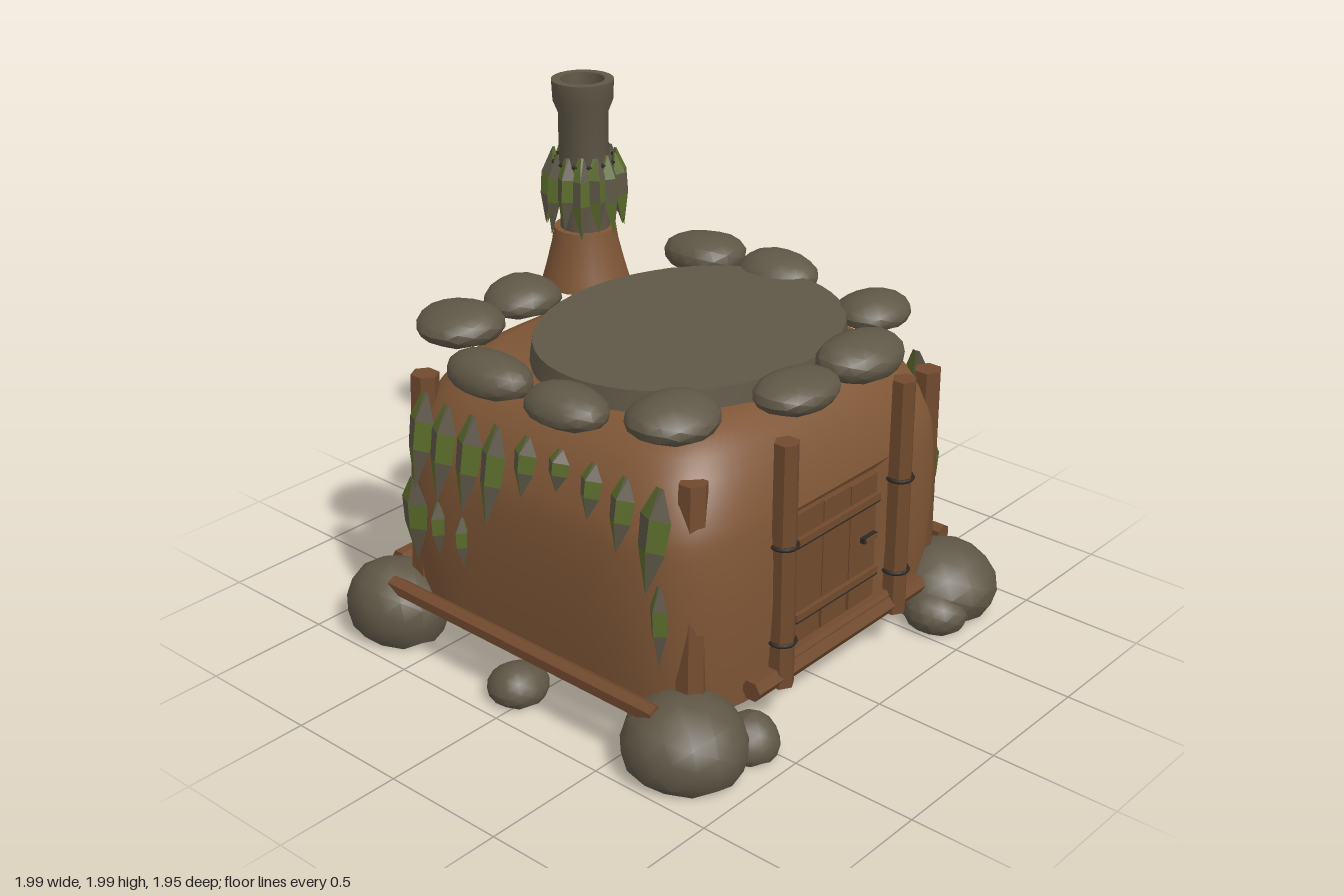
import * as THREE from 'three';
import { mergeVertices, toCreasedNormals } from 'three/addons/utils/BufferGeometryUtils.js';

const mat = (name, color, side = THREE.FrontSide) => {
  const m = new THREE.MeshStandardMaterial({ color, side });
  m.name = name;
  return m;
};

export function createModel() {
  const root = new THREE.Group();
  root.name = 'stoneRimmedHut';
  const clay = mat('clay', 0x7f5636, THREE.DoubleSide);
  const wood = mat('wood', 0x714a2e);
  const stone = mat('stone', 0x5f5746);
  const moss = mat('moss', 0x5a6b2b);
  const leafGrey = mat('leafGrey', 0x5d5647);
  const iron = mat('iron', 0x2e2823);

  let seed = 7;
  const rand = () => (seed = (seed * 16807) % 2147483647) / 2147483647;

  function add(name, geo, material, x = 0, y = 0, z = 0, parent = root) {
    const m = new THREE.Mesh(geo, material);
    m.name = name;
    m.position.set(x, y, z);
    parent.add(m);
    return m;
  }
  const box = (name, w, h, d, x, y, z, material = wood) =>
    add(name, new THREE.BoxGeometry(w, h, d), material, x, y, z);

  // Log between two points
  function log(name, a, b, r, sides = 6, material = wood) {
    const p = new THREE.Vector3(...a), q = new THREE.Vector3(...b);
    const dir = q.clone().sub(p);
    const geo = toCreasedNormals(new THREE.CylinderGeometry(r * 0.94, r, dir.length(), sides), 0.6);
    const m = add(name, geo, material);
    m.position.copy(p).add(q).multiplyScalar(0.5);
    m.quaternion.setFromUnitVectors(new THREE.Vector3(0, 1, 0), dir.normalize());
    return m;
  }

  // Irregular flat-bottomed boulder
  function boulder(name, x, y, z, rx, h, rz) {
    const ico = new THREE.IcosahedronGeometry(1, 2);
    ico.deleteAttribute('normal');
    ico.deleteAttribute('uv');
    const geo = mergeVertices(ico, 1e-3);
    const p = geo.attributes.position, v = new THREE.Vector3();
    const f = [rand() * 6, rand() * 6, rand() * 6];
    for (let i = 0; i < p.count; i++) {
      v.fromBufferAttribute(p, i);
      const n = 0.97 + 0.05 * Math.sin(2.4 * v.x + f[0]) + 0.05 * Math.sin(2.7 * v.z + f[1])
        + 0.03 * Math.sin(3 * v.y + f[2]);
      p.setXYZ(i, v.x * n * rx, Math.max(0, (v.y * 0.64 + 0.36) * h * n), v.z * n * rz);
    }
    add(name, toCreasedNormals(geo, 0.5), stone, x, y, z);
  }

  // Clay body: rounded-square loops, set back behind the door
  const rows = [
    [0.14, 0.81, 0.775], [0.3, 0.828, 0.79], [0.5, 0.84, 0.8], [0.68, 0.84, 0.798], [0.78, 0.832, 0.79],
    [0.83, 0.825, 0.785], [0.88, 0.81, 0.775], [0.96, 0.775, 0.745], [1.03, 0.735, 0.71],
    [1.09, 0.685, 0.665], [1.14, 0.61, 0.61], [1.165, 0.53, 0.54], [1.17, 0, 0],
  ];
  const N = 32, ring = [];
  for (let s = 0; s < 4; s++) {
    for (let i = 0; i < N; i++) {
      const t = -1 + (2 * i) / N;
      const [u, v] = [[t, 1], [1, -t], [-t, -1], [-1, t]][s];
      const k = Math.pow(Math.abs(u) ** 5 + Math.abs(v) ** 5, -1 / 5);
      ring.push([u * k, v * k]);
    }
  }
  const pos = [], idx = [], M = ring.length;
  rows.forEach(([y, a, b], j) => ring.forEach(([u, v], i) => {
    const x = 0.01 + u * a;
    let z = -0.012 + v * b;
    if (z > 0.6 && Math.abs(x) < 0.3 && y < 0.82) z = 0.735;
    pos.push(x, y, z);
    if (j < rows.length - 1) {
      const p = j * M + i, q = j * M + ((i + 1) % M);
      idx.push(p, q, q + M, p, q + M, p + M);
    }
  }));
  const bodyGeo = new THREE.BufferGeometry();
  bodyGeo.setAttribute('position', new THREE.Float32BufferAttribute(pos, 3));
  bodyGeo.setIndex(idx);
  add('clayBody', toCreasedNormals(bodyGeo, 0.7), clay);

  // Roof slab and the stones around it
  const slab = add('roofSlab', toCreasedNormals(new THREE.CylinderGeometry(0.98, 1, 0.08, 48), 0.6),
    stone, 0.05, 1.2, 0.03);
  slab.scale.set(0.66, 1, 0.55);
  [
    [-0.49, -0.67, 0.17, 0.14, 0.17], [-0.13, -0.68, 0.18, 0.13, 0.135], [-0.73, -0.24, 0.14, 0.13, 0.18],
    [-0.73, 0.15, 0.14, 0.13, 0.17], [-0.57, 0.48, 0.165, 0.14, 0.18], [-0.11, 0.67, 0.19, 0.125, 0.135],
    [0.27, 0.67, 0.2, 0.14, 0.155], [0.67, 0.41, 0.15, 0.12, 0.16], [0.72, -0.09, 0.15, 0.14, 0.18],
    [0.7, -0.45, 0.17, 0.14, 0.18],
  ].forEach(([x, z, rx, h, rz]) => boulder('roofStone', x, 1.17, z, rx, h, rz));

  // Foundation boulders
  [
    [-0.76, 0.72, 0.245, 0.26, 0.25], [0.76, 0.72, 0.24, 0.27, 0.25], [-0.79, -0.74, 0.2, 0.28, 0.23],
    [0.78, -0.75, 0.21, 0.28, 0.23], [-0.56, 0.83, 0.115, 0.15, 0.12], [0.62, 0.83, 0.13, 0.16, 0.13],
    [0, -0.81, 0.125, 0.14, 0.12], [0.81, -0.08, 0.13, 0.14, 0.13], [-0.83, -0.05, 0.12, 0.14, 0.12],
  ].forEach(([x, z, rx, h, rz]) => boulder('foundationStone', x, 0, z, rx, h, rz));

  // Corner posts and base logs
  log('cornerPost', [0.71, 0.17, 0.66], [0.71, 1.02, 0.66], 0.058);
  log('cornerPost', [-0.7, 0.17, 0.68], [-0.63, 1.04, 0.63], 0.058);
  log('cornerPost', [0.72, 0.17, -0.66], [0.7, 1.08, -0.64], 0.058);
  log('cornerPost', [-0.72, 0.17, -0.66], [-0.69, 1.09, -0.64], 0.058);
  log('frontBaseLog', [-0.5, 0.21, 0.79], [0.52, 0.21, 0.79], 0.042);
  log('backBaseLog', [-0.72, 0.24, -0.82], [0.72, 0.24, -0.82], 0.04);
  log('leftBaseLog', [0.855, 0.25, 0.68], [0.855, 0.24, -0.67], 0.038);
  log('rightBaseLog', [-0.87, 0.24, 0.67], [-0.87, 0.25, -0.68], 0.038);

  // Door posts with iron bands
  for (const x of [-0.335, 0.355]) {
    log('doorPost', [x, 0.17, 0.797], [x, 1.14, 0.797], 0.05);
    for (const y of [0.35, 0.74]) {
      const band = add('postBand', new THREE.TorusGeometry(0.049, 0.008, 6, 14), iron, x, y, 0.797);
      band.rotation.x = Math.PI / 2;
    }
  }

  // Plank door with braces, sill and handle
  for (let i = 0; i < 3; i++) {
    box('doorPlank', 0.157, 0.53 - i * 0.005, 0.03, -0.155 + i * 0.163, 0.535 - i * 0.003, 0.755);
  }
  box('doorBacking', 0.47, 0.5, 0.02, 0.008, 0.52, 0.738);
  for (const y of [0.695, 0.385]) {
    box('doorBrace', 0.49, 0.028, 0.025, 0.008, y, 0.775);
    box('doorBraceShadowStrip', 0.49, 0.008, 0.022, 0.008, y - 0.018, 0.775, iron);
  }
  for (const x of [-0.075, 0.09]) box('doorPeg', 0.02, 0.08, 0.02, x, 0.32, 0.772);
  log('doorSill', [-0.3, 0.25, 0.785], [0.32, 0.25, 0.785], 0.022);
  box('doorHandle', 0.08, 0.022, 0.02, 0.19, 0.545, 0.785, iron);
  box('doorHandleGrip', 0.066, 0.014, 0.012, 0.19, 0.547, 0.795);

  // Folded pod-like leaf, facets alternating between two colours
  function leafGeometry(w, h, d) {
    const rings = [[-0.5, 0, 0], [-0.08, 0.44, 0.9], [0.22, 0.5, 1], [0.5, 0.12, 0.1]].map(([y, hw, dz]) => [
      [-hw * w, y * h, 0], [0, y * h, dz * d], [hw * w, y * h, 0], [0, y * h, -dz * d]]);
    const parts = [[], []];
    for (let j = 0; j < 3; j++) {
      for (let k = 0; k < 4; k++) {
        const n = (k + 1) % 4, lo = rings[j], hi = rings[j + 1];
        parts[(j + k) % 2].push(...lo[k], ...lo[n], ...hi[n], ...lo[k], ...hi[n], ...hi[k]);
      }
    }
    const g = new THREE.BufferGeometry();
    g.setAttribute('position', new THREE.Float32BufferAttribute([...parts[0], ...parts[1]], 3));
    g.addGroup(0, parts[0].length / 3, 0);
    g.addGroup(parts[0].length / 3, parts[1].length / 3, 1);
    g.computeVertexNormals();
    return g;
  }

  // Hanging leaves on both side walls: z, top, bottom, width
  const leaves = [
    [0.57, 1.06, 0.68, 0.13], [0.43, 1.06, 0.68, 0.13], [0.295, 1.06, 0.68, 0.13], [0.17, 1.06, 0.67, 0.12],
    [0.02, 1.06, 0.83, 0.11], [-0.14, 1.06, 0.9, 0.1], [-0.3, 1.06, 0.85, 0.1], [-0.45, 1.06, 0.78, 0.11],
    [-0.59, 1.06, 0.67, 0.14], [0.59, 0.72, 0.37, 0.14], [0.44, 0.68, 0.45, 0.07], [0.31, 0.66, 0.45, 0.05],
    [-0.64, 0.72, 0.4, 0.08],
  ];
  for (const side of [1, -1]) {
    const wall = new THREE.Group();
    wall.name = side > 0 ? 'leftWallLeaves' : 'rightWallLeaves';
    wall.rotation.y = side * Math.PI / 2;
    root.add(wall);
    for (const [z, top, bottom, w] of leaves) {
      const upper = top > 1, h = top - bottom;
      const corner = Math.abs(z) > 0.5 ? 0.02 : 0;
      const leaf = add('wallLeaf', leafGeometry(w, h, 0.035), [moss, leafGrey], -z, (top + bottom) / 2,
        (upper ? 0.765 + h * 0.13 : 0.84) - corner, wall);
      leaf.rotation.x = upper ? -0.2 : 0;
    }
  }

  // Chimney: clay foot, hollow stone pipe, leaf collar
  const chimney = new THREE.Group();
  chimney.name = 'chimney';
  chimney.position.set(0.285, 0, -0.735);
  root.add(chimney);
  const lathe = (pts) => toCreasedNormals(
    new THREE.LatheGeometry(pts.map(([r, y]) => new THREE.Vector2(r, y)), 20), 0.6);
  add('chimneyFoot', lathe([[0.18, 1.15], [0.16, 1.22], [0.135, 1.32], [0.125, 1.385], [0, 1.385]]),
    clay, 0, 0, 0, chimney);
  add('chimneyPipe', lathe([[0.1, 1.36], [0.1, 1.86], [0.12, 1.91], [0.124, 1.99], [0.088, 1.99],
    [0.082, 1.88], [0.082, 1.38]]), stone, 0, 0, 0, chimney);
  const collarBand = add('collarBand', new THREE.TorusGeometry(0.128, 0.008, 6, 20), iron, 0, 1.665, 0, chimney);
  collarBand.rotation.x = Math.PI / 2;
  for (let i = 0; i < 14; i++) {
    const spoke = new THREE.Group();
    spoke.name = 'collarSpoke';
    spoke.rotation.y = (i / 14) * Math.PI * 2;
    chimney.add(spoke);
    const leaf = add('collarLeaf', leafGeometry(0.085, 0.33 - 0.03 * (i % 2), 0.035), [moss, leafGrey],
      0, 1.54 + 0.012 * (i % 2), 0.142, spoke);
    leaf.rotation.x = -0.1;
  }
  return root;
}
